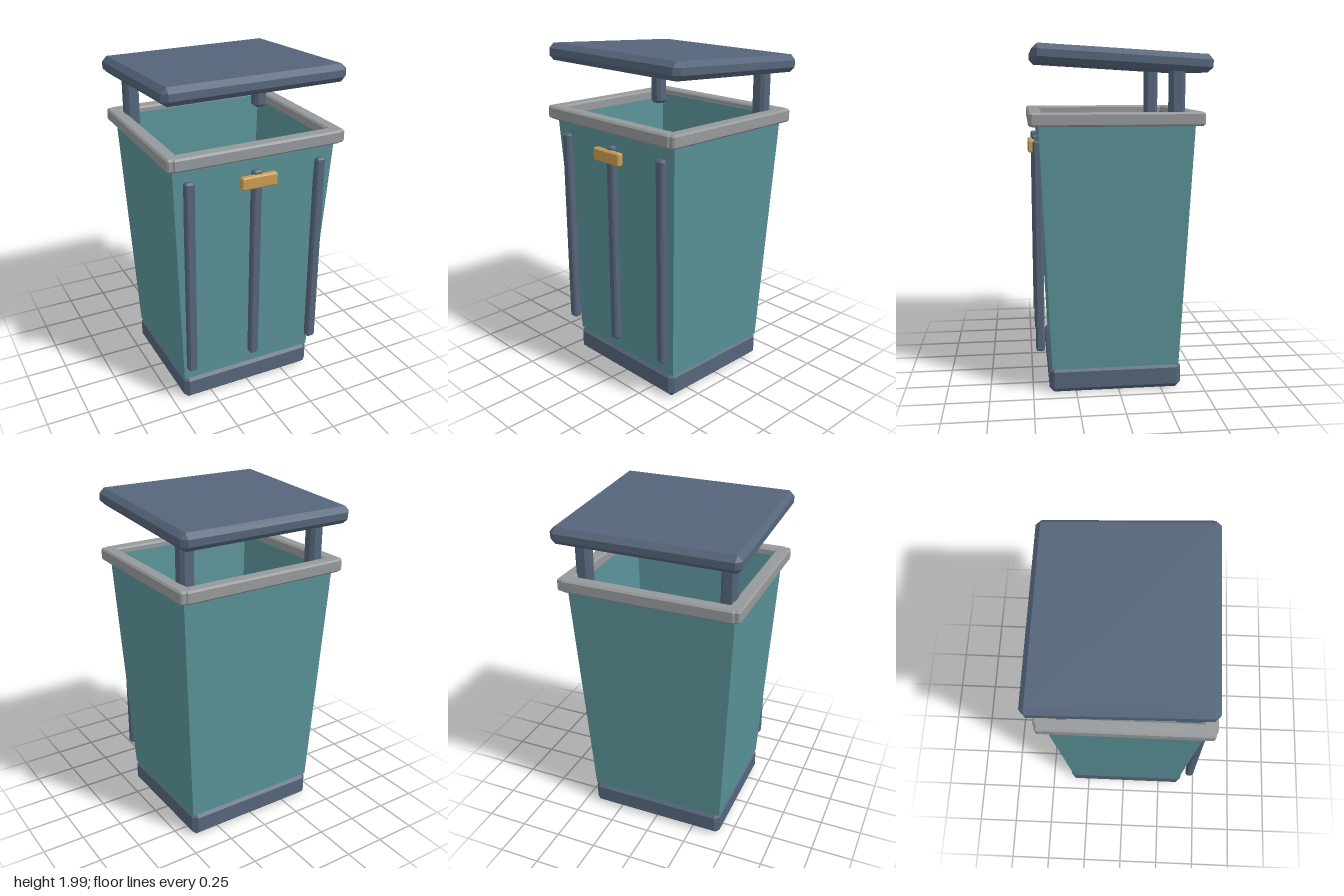
import * as THREE from 'three';
import { ConvexGeometry } from 'three/addons/geometries/ConvexGeometry.js';

const paint = (color) => new THREE.MeshStandardMaterial({ color });

// Box with every edge and corner cut by a flat chamfer c
function chamferBox(w, h, d, c) {
  const points = [];
  for (const x of [-w / 2, w / 2]) for (const y of [-h / 2, h / 2]) for (const z of [-d / 2, d / 2]) {
    const sx = c * Math.sign(x), sy = c * Math.sign(y), sz = c * Math.sign(z);
    points.push(
      new THREE.Vector3(x, y - sy, z - sz),
      new THREE.Vector3(x - sx, y, z - sz),
      new THREE.Vector3(x - sx, y - sy, z));
  }
  return new ConvexGeometry(points);
}

export function createModel() {
  const group = new THREE.Group();
  const dark = paint(0x55657a), teal = paint(0x5a9297), grey = paint(0x96999b), brass = paint(0xcb9c52);
  const binZ = 0.018;

  const add = (name, geometry, material, x, y, z) => {
    const mesh = new THREE.Mesh(geometry, material);
    mesh.name = name;
    mesh.position.set(x, y, z);
    group.add(mesh);
    return mesh;
  };

  // Plinth
  add('base', chamferBox(0.86, 0.155, 0.775, 0.028), dark, 0, 0.0825, binZ);

  // Tapered hollow bin: a four-sided lathe, outside wall up, inside wall down
  const profile = [[0, 0.15], [1, 0.15], [1.17, 1.6], [1.08, 1.6], [0.92, 0.2], [0, 0.2]]
    .map(([r, y]) => new THREE.Vector2(r * Math.SQRT2, y));
  const shell = new THREE.LatheGeometry(profile, 4, Math.PI / 4).scale(0.427, 1, 0.371).toNonIndexed();
  shell.computeVertexNormals();
  add('binBody', shell, teal, 0, 0, binZ);

  // Rim of four bars
  for (const s of [-1, 1]) {
    add('rimSide', chamferBox(0.08, 0.075, 0.955, 0.01), grey, s * 0.5, 1.595, binZ);
    add('rimEnd', chamferBox(1.02, 0.075, 0.08, 0.01), grey, 0, 1.595, binZ + s * 0.447);
  }

  // Rear posts carrying the roof
  for (const s of [-1, 1]) {
    add('roofPost', chamferBox(0.085, 0.35, 0.085, 0.018), dark, s * 0.432, 1.725, -0.318);
  }

  // Roof, tipped up toward the front
  add('roof', chamferBox(1.09, 0.1, 0.985, 0.03), dark, 0, 1.922, -0.01).rotation.x = -0.06;

  // Upright front ribs
  for (const x of [-0.405, 0, 0.405]) {
    add('frontRib', chamferBox(0.056, 1.21, 0.05, 0.01), dark, x, 0.87, 0.455);
  }

  // Front plate
  add('frontPlate', chamferBox(0.22, 0.075, 0.04, 0.008), brass, 0, 1.418, 0.484);

  return group;
}
